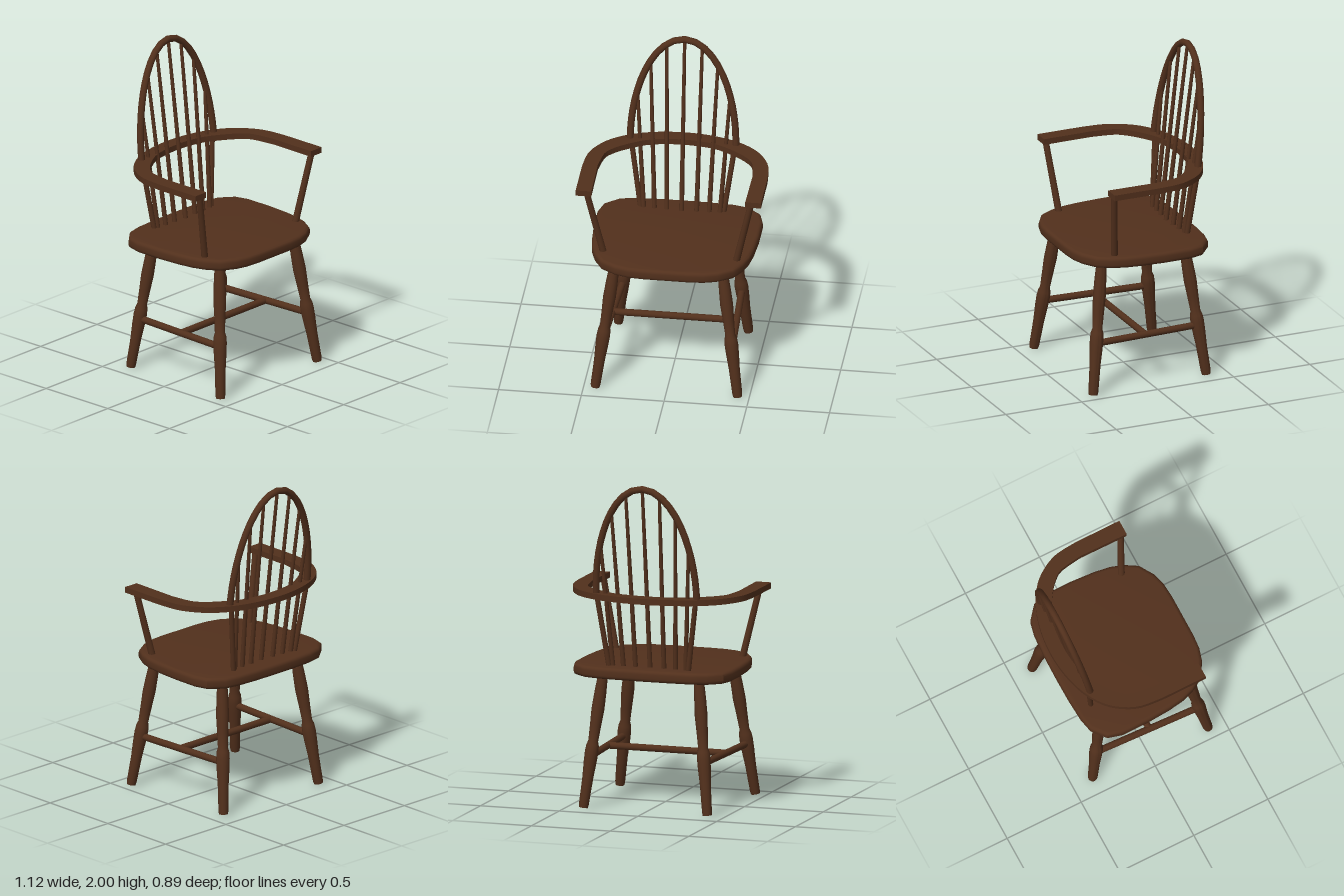
import * as THREE from 'three';
import { toCreasedNormals } from 'three/addons/utils/BufferGeometryUtils.js';

const V = (x, y, z) => new THREE.Vector3(x, y, z);

export function createModel() {
  const chair = new THREE.Group();
  chair.name = 'chair';
  const wood = new THREE.MeshStandardMaterial({ color: 0x52301c });
  wood.name = 'dark brown wood';

  const add = (name, geometry) => {
    const mesh = new THREE.Mesh(geometry, wood);
    mesh.name = name;
    chair.add(mesh);
    return mesh;
  };

  // Stand a geometry built along +y, centred on its length, between two points
  const span = (mesh, a, b) => {
    mesh.position.copy(a).add(b).multiplyScalar(0.5);
    mesh.quaternion.setFromUnitVectors(V(0, 1, 0), b.clone().sub(a).normalize());
    return mesh;
  };
  const rod = (name, a, b, rBottom, rTop = rBottom) =>
    span(add(name, new THREE.CylinderGeometry(rTop, rBottom, a.distanceTo(b), 12)), a, b);

  // Horizontal board from an (x, z) outline, between two heights
  const board = (name, shape, bottom, top, bevel) => {
    const g = new THREE.ExtrudeGeometry(shape, {
      depth: top - bottom - 2 * bevel, curveSegments: 4, bevelEnabled: bevel > 0,
      bevelThickness: bevel, bevelSize: bevel, bevelOffset: -bevel, bevelSegments: 4,
    });
    g.rotateX(Math.PI / 2);
    g.translate(0, top - bevel, 0);
    return add(name, toCreasedNormals(g, 0.6));
  };
  const mirrored = (half) => [
    ...half, ...half.slice().reverse().filter(([x]) => x > 0).map(([x, z]) => [-x, z]),
  ].map(([x, z]) => new THREE.Vector2(x, z));

  // Seat, squarer at the back and rounder at the front
  board('seat', new THREE.Shape(mirrored([
    [0, -0.41], [0.16, -0.408], [0.3, -0.4], [0.39, -0.38], [0.475, -0.31], [0.5, -0.22],
    [0.5, -0.05], [0.49, 0.1], [0.475, 0.2], [0.448, 0.28], [0.4, 0.36], [0.31, 0.415],
    [0.23, 0.438], [0.14, 0.445], [0, 0.445],
  ])), 0.8, 0.87, 0.022);

  // Arm rail: a flat band sweeping round the back
  const smooth = (half) => new THREE.SplineCurve(mirrored(half)
    .sort((a, b) => a.x - b.x)).getPoints(36);
  const outer = smooth([[0.56, 0.02], [0.546, -0.12], [0.503, -0.22], [0.43, -0.31],
    [0.31, -0.385], [0.16, -0.43], [0, -0.445]]);
  const inner = smooth([[0.468, 0], [0.447, -0.135], [0.41, -0.195], [0.34, -0.255],
    [0.22, -0.325], [0.11, -0.352], [0, -0.36]]);
  board('armRail', new THREE.Shape([
    new THREE.Vector2(-0.56, 0.31), ...outer, new THREE.Vector2(0.56, 0.31),
    new THREE.Vector2(0.465, 0.31), ...inner.reverse(), new THREE.Vector2(-0.465, 0.31),
  ]), 1.28, 1.316, 0);

  // Back bow: a half ellipse leaning backwards
  const bowZ = (y) => -0.345 - (y - 1.3) * 0.115;
  const bowPoints = [];
  for (let i = 0; i <= 18; i++) {
    const a = Math.PI * i / 18;
    const y = 1.3 + 0.68 * Math.sin(a);
    bowPoints.push(V(0.32 * Math.cos(a), y, bowZ(y)));
  }
  add('backBow', new THREE.TubeGeometry(
    new THREE.CatmullRomCurve3(bowPoints), 24, 0.021, 10));

  // Seven spindles fanning from the seat up to the bow
  const fan = [[0, 0], [0.09, 0.107], [0.165, 0.203], [0.23, 0.28]];
  for (const [low, high] of fan) {
    for (const s of low ? [1, -1] : [1]) {
      const y = 1.3 + 0.68 * Math.sqrt(1 - (high / 0.32) ** 2);
      rod('backSpindle', V(s * low, 0.85, -0.28 - low * 0.06), V(s * high, y, bowZ(y)), 0.015, 0.01);
    }
  }

  // Turned leg profile, radius against height
  const legProfile = [[0, 0], [0.027, 0], [0.03, 0.02], [0.033, 0.18], [0.039, 0.28],
    [0.041, 0.34], [0.038, 0.38], [0.03, 0.405], [0.034, 0.5], [0.039, 0.6],
    [0.036, 0.7], [0.029, 0.83], [0, 0.83]];
  const legShape = legProfile.map(([r, y]) => new THREE.Vector2(r, y - 0.415));

  for (const s of [1, -1]) {
    // Outer back posts under the rail, and the front arm posts
    rod('lowerBackPost', V(s * 0.25, 0.85, -0.305), V(s * 0.312, 1.29, -0.35), 0.016);
    rod('armPost', V(s * 0.4, 0.85, 0.24), V(s * 0.497, 1.29, 0.285), 0.021, 0.019);

    // Splayed legs
    const legs = [
      ['frontLeg', V(s * 0.43, 0.008, 0.393), V(s * 0.325, 0.82, 0.29)],
      ['backLeg', V(s * 0.393, 0.008, -0.367), V(s * 0.303, 0.82, -0.262)],
    ];
    const joints = legs.map(([name, foot, top]) => {
      span(add(name, toCreasedNormals(new THREE.LatheGeometry(legShape, 14), 0.7)), foot, top);
      return foot.clone().lerp(top, 0.378);
    });
    rod('sideStretcher', joints[0], joints[1], 0.021);
  }
  rod('crossStretcher', V(-0.37, 0.315, 0.025), V(0.37, 0.315, 0.025), 0.021);

  return chair;
}
